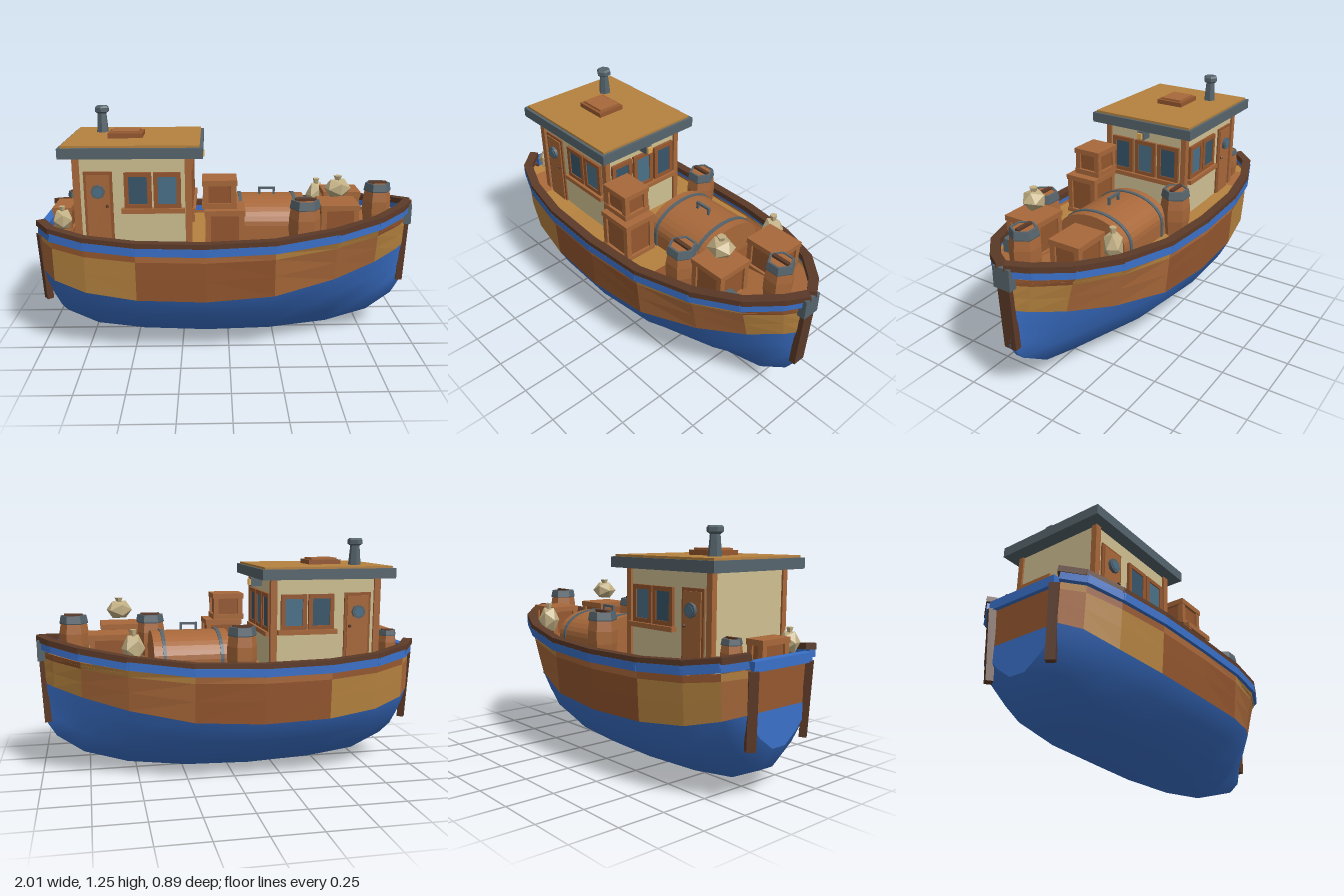
import * as THREE from 'three';

const C = {
  blue: 0x3a70c8, cream: 0xcfc092, tan: 0xb5823f, wood: 0xa8683a, brown: 0x95572f,
  dark: 0x5c3a28, slate: 0x56646c, glass: 0x4a7088, night: 0x37566a, sack: 0xc2b084, lamp: 0xe0a850,
};
// stations from stern to bow: x, half width, keel height, sheer rise
const S = [
  [-0.97, 0.22, 0.25, 0.06], [-0.9, 0.31, 0.13, 0.045], [-0.73, 0.375, 0.05, 0.02], [-0.47, 0.42, 0.015, 0.005],
  [-0.12, 0.43, 0, 0], [0.23, 0.415, 0.01, 0.01], [0.55, 0.345, 0.05, 0.04], [0.78, 0.24, 0.12, 0.07],
  [0.92, 0.11, 0.21, 0.09], [0.98, 0.02, 0.3, 0.1],
];
const mat = (color, extra = {}) => new THREE.MeshStandardMaterial({ color, ...extra });

function add(parent, name, geo, color, x = 0, y = 0, z = 0, extra) {
  const m = new THREE.Mesh(geo, mat(color, extra));
  m.name = name;
  m.position.set(x, y, z);
  parent.add(m);
  return m;
}
// box given by its extents
const span = (parent, name, color, x0, x1, y0, y1, z0, z1) => add(parent, name,
  new THREE.BoxGeometry(x1 - x0, y1 - y0, z1 - z0), color, (x0 + x1) / 2, (y0 + y1) / 2, (z0 + z1) / 2);

function beam(parent, name, color, a, b, w, h) {
  const m = add(parent, name, new THREE.BoxGeometry(w, h, a.distanceTo(b) + 0.012), color);
  m.position.copy(a).add(b).multiplyScalar(0.5);
  m.lookAt(b);
}
function group(parent, name, x = 0, y = 0, z = 0) {
  const g = new THREE.Group();
  g.name = name;
  g.position.set(x, y, z);
  parent.add(g);
  return g;
}
// flat faces from a list of four-cornered patches
function patches(parent, name, quads, color) {
  const pos = [];
  for (const [a, b, c, d] of quads) for (const p of [a, b, c, a, c, d]) pos.push(...p);
  const g = new THREE.BufferGeometry();
  g.setAttribute('position', new THREE.Float32BufferAttribute(pos, 3));
  g.computeVertexNormals();
  return add(parent, name, g, color, 0, 0, 0, { side: THREE.DoubleSide, flatShading: true });
}

// half section from plank top down to the keel, as [z, y]
function section([x, w, keel, s]) {
  const flare = x > 0 ? s / 0.1 : 0;
  const water = 0.325 + 1.8 * s;
  const low = (t) => keel + (water - keel) * t;
  return [
    [w, 0.572 + s], [w * (1 - 0.1 * flare), 0.537 + s], [w * (0.99 - 0.2 * flare), 0.44 + 1.35 * s],
    [w * (0.975 - 0.3 * flare), water], [w * (0.85 - 0.35 * flare), low(0.68)],
    [w * (0.58 - 0.25 * flare), low(0.34)], [Math.min(0.045, w * 0.2), keel],
  ];
}

function buildHull(boat) {
  const hull = group(boat, 'hull');
  const sec = S.map(section);
  // painted bottom, one smooth skin
  const pos = [], idx = [], n = 8;
  S.forEach((st, i) => {
    const half = sec[i].slice(3);
    for (const [z, y] of half) pos.push(st[0], y, z);
    for (const [z, y] of [...half].reverse()) pos.push(st[0], y, -z);
    if (i) for (let j = 0; j < n - 1; j++) {
      const a = (i - 1) * n + j, b = i * n + j;
      idx.push(a, a + 1, b, b, a + 1, b + 1);
    }
  });
  const skin = new THREE.BufferGeometry();
  skin.setAttribute('position', new THREE.Float32BufferAttribute(pos, 3));
  skin.setIndex(idx);
  skin.computeVertexNormals();
  add(hull, 'paintedBottom', skin, C.blue, 0, 0, 0, { side: THREE.DoubleSide });

  // side planks, deck and transom, sorted by colour
  const shades = [C.tan, C.wood, C.brown], sets = [[], [], []], decks = [[], [], []];
  const pt = (i, j, side) => [S[i][0], sec[i][j][1], side * sec[i][j][0]];
  for (let i = 0; i < S.length - 1; i++) {
    for (const side of [1, -1]) for (let j = 0; j < 3; j++) {
      sets[(i * 2 + j * j + (i >> 1)) % 3].push([pt(i, j, side), pt(i, j + 1, side), pt(i + 1, j + 1, side), pt(i + 1, j, side)]);
    }
    const d = (k, side) => [S[k][0], 0.555 + S[k][3], side * (S[k][1] - 0.004)];
    decks[[0, 1, 0, 0, 0, 2, 1, 1, 1][i]].push([d(i, 1), d(i + 1, 1), d(i + 1, -1), d(i, -1)]);
  }
  shades.forEach((c, k) => {
    patches(hull, 'sidePlanks', sets[k], c);
    patches(hull, 'deckPlanks', decks[k], c);
  });
  const across = (j) => [pt(0, j, 1), pt(0, j, -1), pt(0, j + 1, -1), pt(0, j + 1, 1)];
  patches(hull, 'transomPlanks', [0, 1, 2].map(across), C.brown);
  patches(hull, 'transomBottom', [3, 4, 5].map(across), C.blue);

  // rail and painted strake
  for (const side of [1, -1]) for (let i = 0; i < S.length - 1; i++) {
    const p = (k, y, out) => new THREE.Vector3(S[k][0], y + 1.1 * S[k][3], side * (S[k][1] + out));
    beam(hull, 'rail', C.dark, p(i, 0.625, -0.008), p(i + 1, 0.625, -0.008), 0.048, 0.03);
    beam(hull, 'strake', C.blue, p(i, 0.594, 0.004), p(i + 1, 0.594, 0.004), 0.026, 0.042);
  }
  span(hull, 'sternBoard', C.blue, -0.99, -0.945, 0.62, 0.668, -0.2, 0.2);
  for (const side of [1, -1]) {
    beam(hull, 'sternPost', C.dark, new THREE.Vector3(-0.962, 0.27, side * 0.185), new THREE.Vector3(-0.978, 0.62, side * 0.195), 0.045, 0.035);
  }
  beam(hull, 'stem', C.dark, new THREE.Vector3(0.96, 0.295, 0), new THREE.Vector3(0.976, 0.65, 0), 0.07, 0.035);
  span(hull, 'stemCap', C.slate, 0.95, 1, 0.62, 0.73, -0.048, 0.048);
}

// framed pane in the xy plane, facing +z
function windowPane(parent, x, y, z, w, h, glass, turn = 0) {
  const g = group(parent, 'window', x, y, z);
  g.rotation.y = turn;
  span(g, 'pane', glass, -w / 2 + 0.02, w / 2 - 0.02, -h / 2 + 0.02, h / 2 - 0.02, -0.005, 0.006);
  for (const s of [1, -1]) {
    add(g, 'frameSide', new THREE.BoxGeometry(0.022, h, 0.024), C.brown, s * (w / 2 - 0.011));
    add(g, 'frameBar', new THREE.BoxGeometry(w - 0.04, 0.022, 0.024), C.brown, 0, s * (h / 2 - 0.011));
  }
}

function buildCabin(boat) {
  const cabin = group(boat, 'cabin');
  span(cabin, 'walls', C.cream, -0.775, -0.2, 0.55, 1.045, -0.243, 0.243);
  for (const x of [-0.768, -0.205]) for (const z of [-0.24, 0.24]) {
    span(cabin, 'cornerPost', C.wood, x - 0.017, x + 0.017, 0.55, 1.045, z - 0.015, z + 0.015);
  }
  span(cabin, 'roofEdge', C.slate, -0.845, -0.13, 1.04, 1.093, -0.308, 0.308);
  span(cabin, 'roofTop', C.tan, -0.83, -0.145, 1.09, 1.104, -0.293, 0.293);
  span(cabin, 'hatchBase', C.brown, -0.625, -0.445, 1.1, 1.128, -0.075, 0.08);
  span(cabin, 'hatchLid', C.wood, -0.607, -0.463, 1.12, 1.138, -0.058, 0.063);
  const flue = [[0, 1.1], [0.034, 1.1], [0.025, 1.205], [0.04, 1.215], [0.04, 1.236], [0.032, 1.245], [0, 1.245]];
  add(cabin, 'chimney', new THREE.LatheGeometry(flue.map((p) => new THREE.Vector2(...p)), 6), C.slate, -0.68, 0, -0.135, { flatShading: true });
  // doors and windows on both sides
  for (const s of [1, -1]) {
    const side = group(cabin, 'cabinSide');
    side.scale.z = s;
    span(side, 'doorFrame', C.brown, -0.732, -0.588, 0.55, 0.965, 0.235, 0.252);
    span(side, 'door', C.wood, -0.718, -0.602, 0.55, 0.95, 0.235, 0.258);
    add(side, 'portholeRim', new THREE.CylinderGeometry(0.036, 0.036, 0.02, 8), C.slate, -0.66, 0.865, 0.264).rotation.x = Math.PI / 2;
    add(side, 'portholeGlass', new THREE.CylinderGeometry(0.024, 0.024, 0.02, 8), C.glass, -0.66, 0.865, 0.267).rotation.x = Math.PI / 2;
    add(side, 'doorKnob', new THREE.IcosahedronGeometry(0.01, 0), C.dark, -0.615, 0.79, 0.262);
    windowPane(side, -0.46, 0.868, 0.247, 0.138, 0.185, C.night);
    windowPane(side, -0.312, 0.868, 0.247, 0.138, 0.185, C.glass);
    span(side, 'sill', C.wood, -0.545, -0.225, 0.752, 0.776, 0.24, 0.275);
  }
  for (const z of [-0.146, 0, 0.146]) windowPane(cabin, -0.196, 0.862, z, 0.132, 0.2, z ? C.night : C.glass, Math.PI / 2);
  span(cabin, 'frontSill', C.wood, -0.2, -0.17, 0.74, 0.764, -0.22, 0.22);
  span(cabin, 'lanternBox', C.slate, -0.2, -0.138, 0.986, 1.032, -0.019, 0.019);
  span(cabin, 'lanternGlass', C.lamp, -0.15, -0.125, 0.993, 1.025, -0.014, 0.014);
}

function crate(parent, x, y, z, w, h, d) {
  const g = group(parent, 'crate', x, y, z);
  add(g, 'box', new THREE.BoxGeometry(w - 0.03, h - 0.01, d - 0.03), C.brown, 0, h / 2);
  for (const k of [0.014, h - 0.014]) add(g, 'slab', new THREE.BoxGeometry(w, 0.028, d), C.wood, 0, k);
  for (const sx of [1, -1]) for (const sz of [1, -1]) {
    add(g, 'batten', new THREE.BoxGeometry(0.028, h - 0.05, 0.028), C.wood, sx * (w / 2 - 0.018), h / 2, sz * (d / 2 - 0.018));
  }
}
function barrel(parent, x, y, z, r, h) {
  const g = group(parent, 'barrel', x, y, z);
  const lathe = (pts) => new THREE.LatheGeometry(pts.map(([a, b]) => new THREE.Vector2(a * r, b * h)), 6, Math.PI / 6);
  add(g, 'staves', lathe([[0, 0], [0.82, 0], [1, 0.35], [1, 0.6], [0.82, 0.95], [0, 0.95]]), C.wood, 0, 0, 0, { flatShading: true });
  add(g, 'topHoop', lathe([[0.95, 0.8], [0.97, 0.82], [0.87, 0.97], [0.72, 0.97], [0.72, 0.93]]), C.slate, 0, 0, 0, { flatShading: true, side: THREE.DoubleSide });
  add(g, 'lidBar', new THREE.BoxGeometry(r * 1.25, h * 0.07, r * 0.26), C.dark, 0, h * 0.965);
}
function sack(parent, x, y, z, rx, ry, turn) {
  const g = group(parent, 'sack', x, y, z);
  g.rotation.y = turn;
  add(g, 'sackBody', new THREE.IcosahedronGeometry(1, 0), C.sack, 0, 0, 0, { flatShading: true }).scale.set(rx, ry, rx * 0.85);
  add(g, 'sackNeck', new THREE.CylinderGeometry(rx * 0.32, rx * 0.2, ry * 0.4, 5), C.sack, 0, ry * 0.98, 0, { flatShading: true });
}

// domed trunk lying along the deck
function buildTrunk(parent) {
  const g = group(parent, 'trunk', 0.215, 0.55, -0.065);
  const slice = (grow, length) => {
    const s = new THREE.Shape();
    const w = 0.2 + grow;
    s.moveTo(-w, 0);
    s.lineTo(w, 0);
    s.lineTo(w, 0.09);
    s.absellipse(0, 0.09, w, 0.125 + grow, 0, Math.PI, false);
    s.lineTo(-w, 0);
    return new THREE.ExtrudeGeometry(s, { depth: length, bevelEnabled: false, curveSegments: 8 })
      .translate(0, 0, -length / 2).rotateY(Math.PI / 2);
  };
  add(g, 'trunkBody', slice(0, 0.4), C.wood);
  for (const x of [-0.148, 0.146]) add(g, 'trunkBand', slice(0.006, 0.018), C.slate, x);
  for (const x of [-0.04, 0.04]) add(g, 'handlePost', new THREE.BoxGeometry(0.012, 0.04, 0.012), C.slate, x, 0.23);
  add(g, 'handleGrip', new THREE.BoxGeometry(0.092, 0.012, 0.014), C.slate, 0, 0.25);
}

export function createModel() {
  const boat = new THREE.Group();
  boat.name = 'boat';
  buildHull(boat);
  buildCabin(boat);
  const cargo = group(boat, 'cargo');
  buildTrunk(cargo);
  crate(cargo, -0.022, 0.555, 0.25, 0.205, 0.228, 0.19);
  crate(cargo, -0.048, 0.786, 0.235, 0.175, 0.145, 0.16);
  crate(cargo, 0.57, 0.585, 0.168, 0.2, 0.2, 0.2);
  crate(cargo, 0.635, 0.59, -0.145, 0.205, 0.185, 0.175);
  crate(cargo, -0.88, 0.59, 0.015, 0.1, 0.15, 0.19);
  barrel(cargo, -0.03, 0.55, -0.29, 0.078, 0.265);
  barrel(cargo, 0.39, 0.56, 0.25, 0.082, 0.262);
  barrel(cargo, 0.81, 0.6, 0.02, 0.076, 0.255);
  barrel(cargo, -0.855, 0.59, -0.2, 0.052, 0.17);
  sack(cargo, 0.565, 0.855, 0.165, 0.073, 0.055, 0.3);
  sack(cargo, 0.52, 0.71, -0.27, 0.062, 0.08, 0.5);
  sack(cargo, -0.86, 0.7, 0.19, 0.055, 0.06, 0.2);
  // small deck fittings near the bow
  for (const z of [0.22, -0.225]) span(cargo, 'deckFitting', C.slate, 0.67, 0.725, 0.6, 0.69, z - 0.02, z + 0.02);
  return boat;
}
